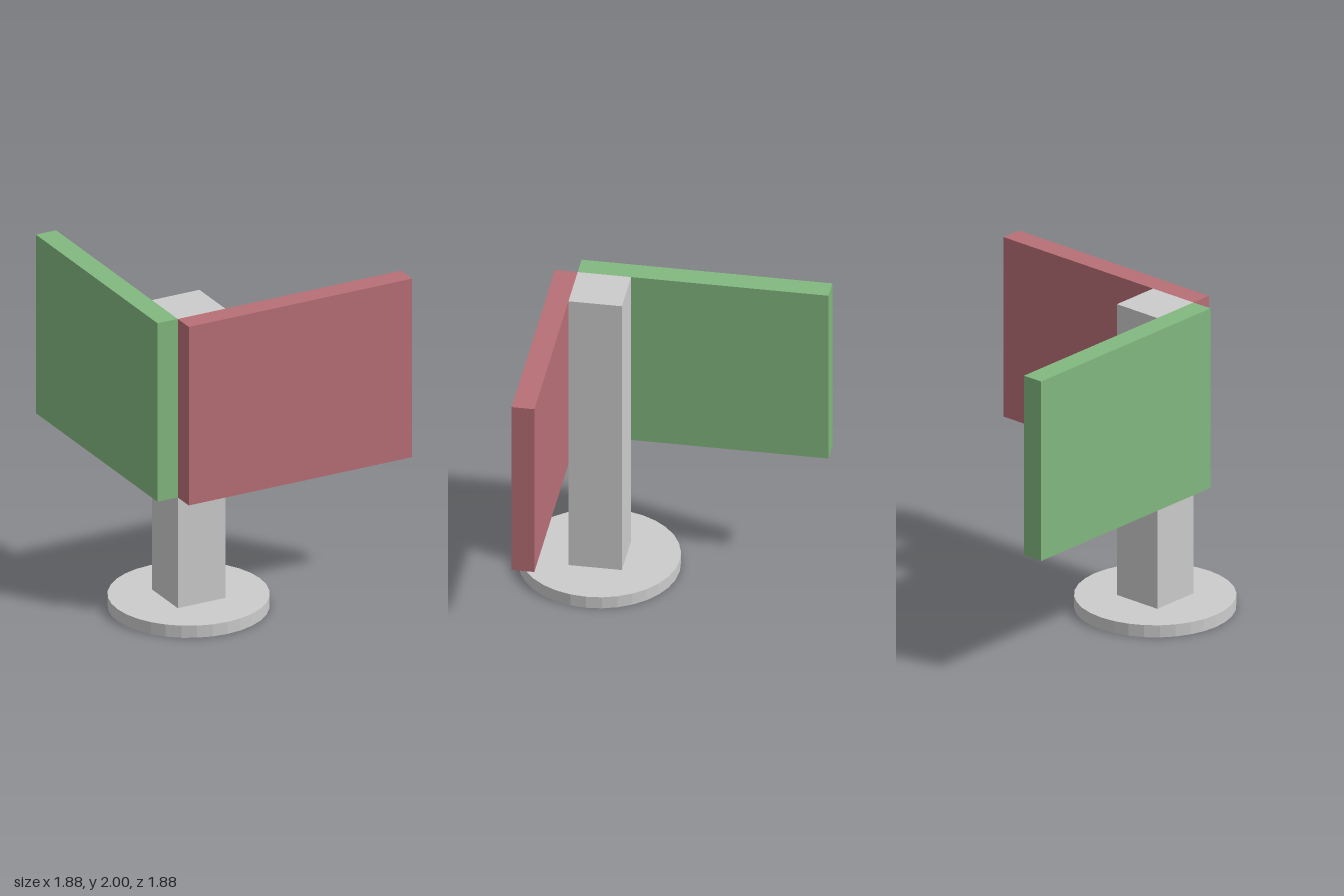
import * as THREE from 'three';

const material = (color) => new THREE.MeshStandardMaterial({ color, flatShading: true });

// Box spanning two opposite corners
function box(name, min, max, mat) {
  const size = max.map((v, i) => v - min[i]);
  const mesh = new THREE.Mesh(new THREE.BoxGeometry(...size), mat);
  mesh.position.set(...max.map((v, i) => (v + min[i]) / 2));
  mesh.name = name;
  return mesh;
}

export function createModel() {
  const group = new THREE.Group();
  group.name = 'cornerSignPost';
  const grey = material(0xcccccc);

  // Round foot plate
  const base = new THREE.Mesh(new THREE.CylinderGeometry(0.495, 0.495, 0.08, 32), grey);
  base.position.set(-0.445, 0.04, 0.445);
  base.name = 'base';
  group.add(base);

  // Square post
  group.add(box('post', [-0.61, 0.08, 0.28], [-0.28, 2, 0.61], grey));

  // Two panels on adjacent faces of the post, meeting at its outer corner
  group.add(box('frontPanel', [-0.61, 0.815, 0.61], [0.94, 2, 0.75], material(0xb86f77)));
  group.add(box('sidePanel', [-0.75, 0.815, -0.94], [-0.61, 2, 0.61], material(0x82b87f)));

  return group;
}
